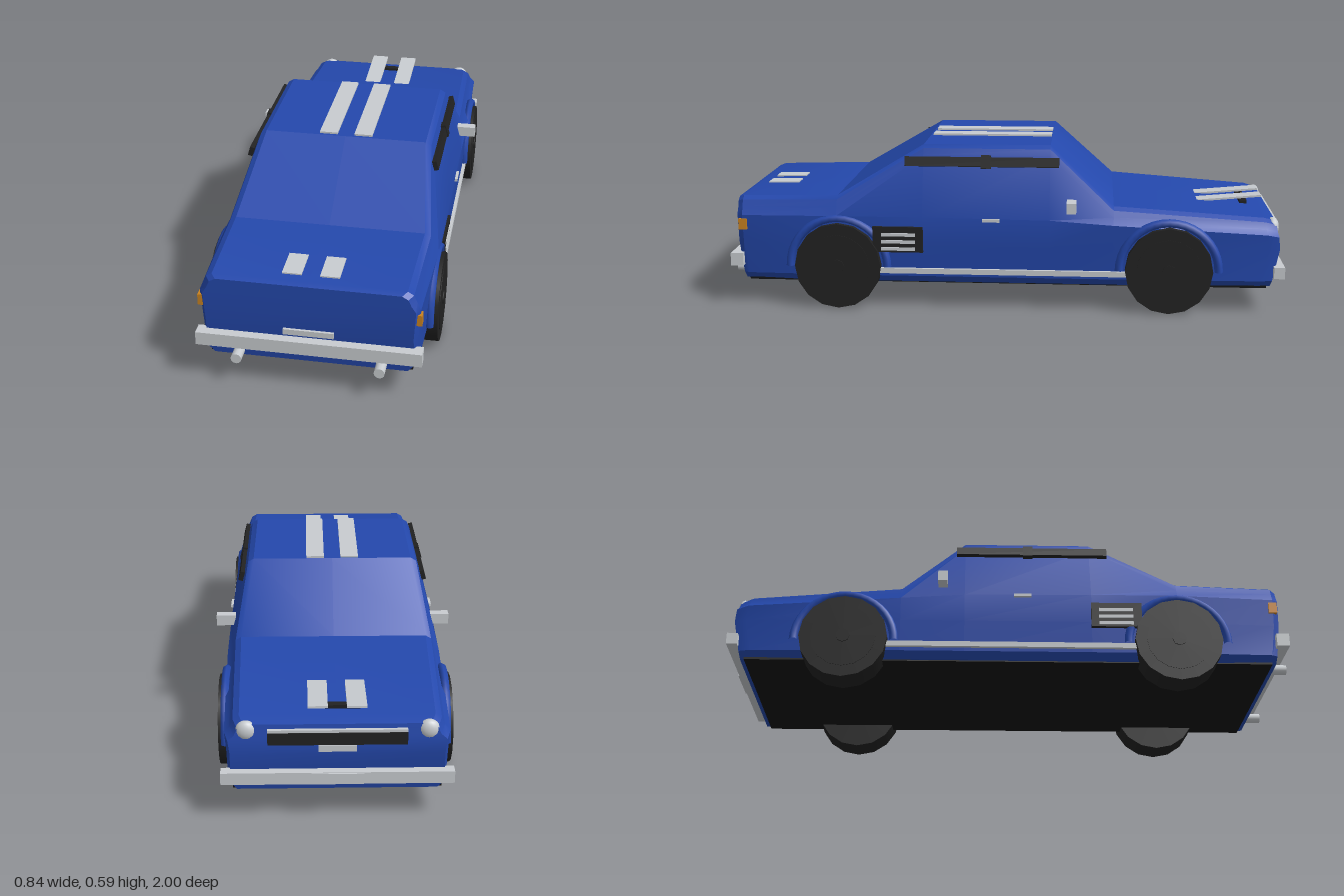
import * as THREE from 'three';
import { toCreasedNormals } from 'three/addons/utils/BufferGeometryUtils.js';

const material = (name, color) => {
  const m = new THREE.MeshStandardMaterial({ color });
  m.name = name;
  return m;
};

// Body shell: cross-sections along z, [z, topY, topHalfWidth, shoulderY, shoulderHalfWidth, sillHalfWidth]
const STATIONS = [
  [0.965, 0.388, 0.3, 0.33, 0.345, 0.34],
  [0.945, 0.395, 0.315, 0.33, 0.358, 0.35],
  [0.6, 0.402, 0.325, 0.335, 0.374, 0.36],
  [0.29, 0.585, 0.285, 0.335, 0.374, 0.36],
  [-0.163, 0.585, 0.285, 0.33, 0.374, 0.36],
  [-0.39, 0.375, 0.325, 0.315, 0.374, 0.36],
  [-0.94, 0.338, 0.31, 0.285, 0.358, 0.35],
  [-0.98, 0.326, 0.295, 0.275, 0.345, 0.34],
];

function bodyGeometry() {
  const last = STATIONS.length - 1;
  // Half section from underside centre up to roof centre
  const halves = STATIONS.map(([z, top, tw, sy, sw, bw], i) => [
    [0, 0.09], [bw - 0.02, 0.09], [bw, 0.115], [sw - 0.006, 0.23], [sw, sy],
    [tw + 0.03, top - 0.035], [tw + 0.02, top - 0.012], [tw, top], [0, top],
  ].map(([x, y]) => {
    let dz = 0; // tail and nose faces lean inwards
    if (i < 2) dz = -0.13 * Math.max(0, 0.24 - y);
    if (i > last - 2) dz = 0.2 * Math.abs(y - 0.24);
    return [x, y, z + dz];
  }));
  const pos = [];
  const quad = (a, b, c, d) => pos.push(...a, ...b, ...c, ...a, ...c, ...d);
  const flip = ([x, y, z]) => [-x, y, z];
  for (let i = 0; i < last; i++) {
    for (let j = 0; j < halves[i].length - 1; j++) {
      const a = halves[i][j], b = halves[i + 1][j], c = halves[i + 1][j + 1], d = halves[i][j + 1];
      quad(a, b, c, d);
      quad(flip(d), flip(c), flip(b), flip(a));
    }
  }
  // Tail and nose caps
  const tail = halves[0], nose = halves[last];
  for (let j = 0; j < tail.length - 1; j++) {
    quad(flip(tail[j]), tail[j], tail[j + 1], flip(tail[j + 1]));
    quad(nose[j], flip(nose[j]), flip(nose[j + 1]), nose[j + 1]);
  }
  const g = new THREE.BufferGeometry();
  g.setAttribute('position', new THREE.Float32BufferAttribute(pos, 3));
  return toCreasedNormals(g, 0.45);
}

export function createModel() {
  const car = new THREE.Group();
  car.name = 'car';
  const blue = material('bodyBlue', 0x2448ac);
  const chrome = material('paleGrey', 0xc8ccd0);
  const black = material('rubberBlack', 0x222222);
  const dark = material('undersideBlack', 0x141414);
  const amber = material('amber', 0xc98220);

  const add = (name, geometry, mat, x = 0, y = 0, z = 0) => {
    const m = new THREE.Mesh(geometry, mat);
    m.name = name;
    m.position.set(x, y, z);
    car.add(m);
    return m;
  };
  // Box given by its minimum and maximum corners
  const box = (name, mat, [x0, y0, z0], [x1, y1, z1]) =>
    add(name, new THREE.BoxGeometry(x1 - x0, y1 - y0, z1 - z0), mat, (x0 + x1) / 2, (y0 + y1) / 2, (z0 + z1) / 2);
  // The same box on both sides
  const pair = (name, mat, [x0, y0, z0], [x1, y1, z1]) => {
    box(name + 'Left', mat, [x0, y0, z0], [x1, y1, z1]);
    box(name + 'Right', mat, [-x1, y0, z0], [-x0, y1, z1]);
  };

  add('body', bodyGeometry(), blue);
  box('underside', dark, [-0.335, 0.086, -0.935], [0.335, 0.094, 0.93]);

  // Wheels with hubs and arch flares
  const tyre = new THREE.CylinderGeometry(0.155, 0.155, 0.106, 16).rotateZ(Math.PI / 2);
  const disc = new THREE.CylinderGeometry(0.115, 0.115, 0.006, 16).rotateZ(Math.PI / 2);
  const cap = new THREE.CylinderGeometry(0.025, 0.025, 0.012, 8).rotateZ(Math.PI / 2);
  const flare = new THREE.TorusGeometry(0.176, 0.015, 6, 20, Math.PI).rotateY(Math.PI / 2);
  for (const s of [1, -1]) {
    for (const z of [0.595, -0.587]) {
      add('wheel', tyre, black, s * 0.339, 0.155, z);
      add('wheelDisc', disc, black, s * 0.391, 0.155, z);
      add('hubCap', cap, black, s * 0.392, 0.155, z);
      add('archFlare', flare, blue, s * 0.368, 0.15, z);
    }
    // Side window trim leaning with the cabin
    const trim = add('windowTrim', new THREE.BoxGeometry(0.016, 0.034, 0.55), black, s * 0.328, 0.529, 0.08);
    trim.rotation.z = s * 0.27;
    const catchMesh = add('windowCatch', new THREE.BoxGeometry(0.02, 0.048, 0.035), black, s * 0.329, 0.529, 0.065);
    catchMesh.rotation.z = s * 0.27;
    // Exhaust pipe
    add('exhaust', new THREE.CylinderGeometry(0.018, 0.018, 0.12, 12).rotateX(Math.PI / 2), chrome, s * 0.235, 0.109, 0.94);
    // Headlight
    const lamp = add('headlight', new THREE.SphereGeometry(0.034, 16, 10), chrome, s * 0.288, 0.302, -0.955);
    lamp.scale.z = 0.65;
  }

  // Side fittings
  pair('sillStrip', chrome, [0.35, 0.127, -0.44], [0.374, 0.146, 0.45]);
  pair('sideVent', black, [0.35, 0.207, 0.288], [0.381, 0.3, 0.468]);
  for (const y of [0.22, 0.246, 0.272]) pair('ventSlat', chrome, [0.375, y - 0.006, 0.315], [0.385, y + 0.006, 0.437]);
  pair('doorHandle', chrome, [0.365, 0.322, 0.013], [0.383, 0.333, 0.075]);
  pair('mirror', chrome, [0.35, 0.364, -0.258], [0.419, 0.402, -0.224]);

  // Tail end
  box('rearBumper', chrome, [-0.37, 0.144, 0.945], [0.37, 0.191, 0.99]);
  box('rearPlate', chrome, [-0.083, 0.205, 0.95], [0.083, 0.225, 0.972]);
  pair('sideLamp', amber, [0.343, 0.278, 0.928], [0.364, 0.317, 0.958]);

  // Nose end
  box('frontBumper', chrome, [-0.37, 0.13, -0.995], [0.37, 0.171, -0.957]);
  box('bumperCentre', chrome, [-0.083, 0.132, -1], [0.083, 0.169, -0.99]);
  box('grille', black, [-0.22, 0.262, -0.982], [0.22, 0.303, -0.95]);
  box('grilleTrim', chrome, [-0.22, 0.303, -0.978], [0.22, 0.312, -0.95]);
  box('frontPlate', chrome, [-0.06, 0.24, -0.985], [0.06, 0.262, -0.96]);
  box('hoodVent', black, [-0.09, 0.33, -0.885], [0.09, 0.352, -0.858]);

  // Twin stripes on roof, deck and hood
  for (const s of [1, -1]) {
    const strip = (name, length, y, z, tilt) => {
      const m = add(name, new THREE.BoxGeometry(0.064, 0.007, length), chrome, s * 0.062, y, z);
      m.rotation.x = tilt;
    };
    strip('roofStripe', 0.44, 0.588, 0.06, 0);
    strip('deckStripe', 0.115, 0.398, 0.853, 0.02);
    strip('hoodStripe', 0.247, 0.36, -0.813, 0.09);
  }
  return car;
}
